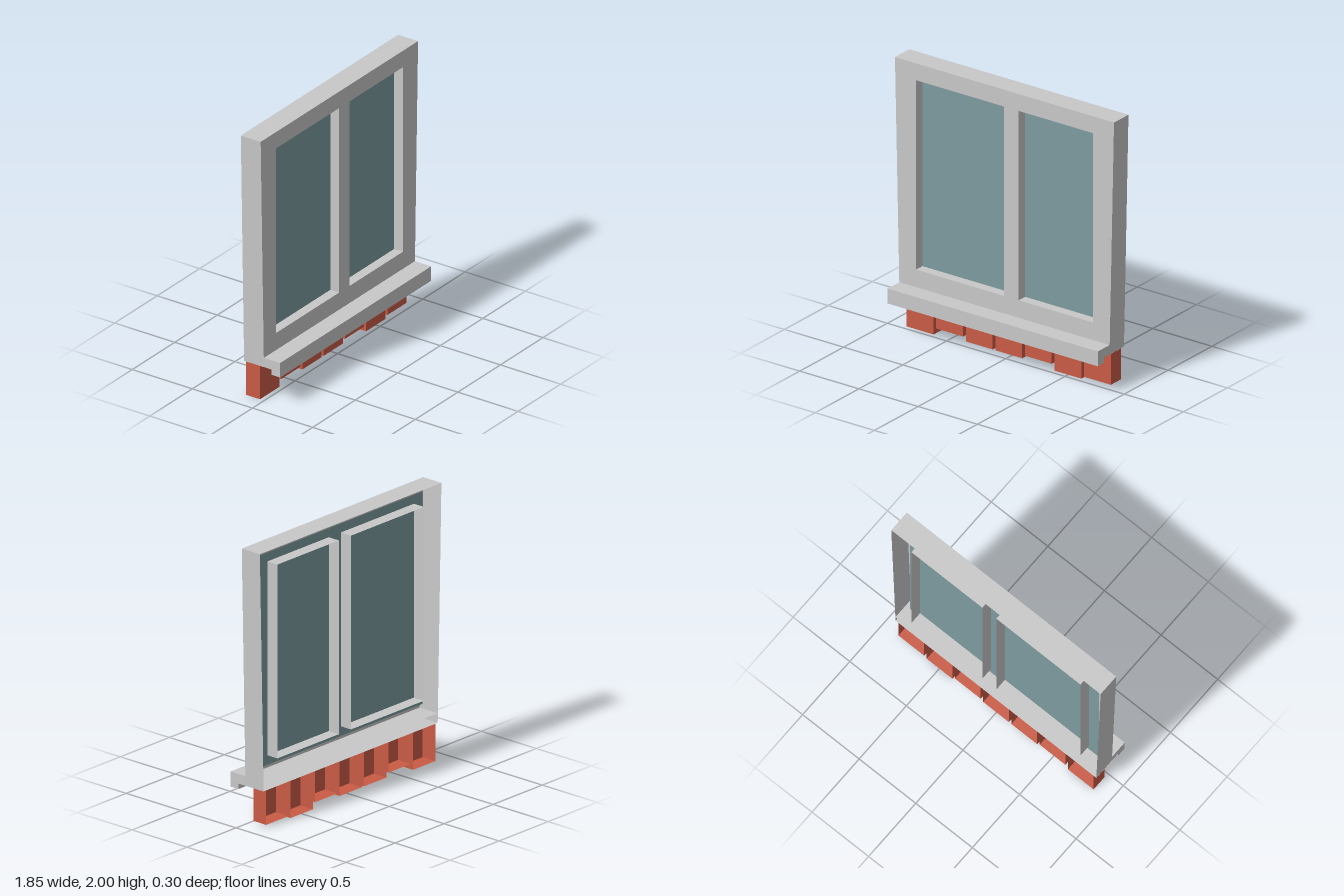
import * as THREE from 'three';

const material = (name, color) =>
  new THREE.MeshStandardMaterial({ name, color, side: THREE.DoubleSide });

// Ribbon of flat quads joining two polylines of [x, y, z] points
function ribbon(a, b) {
  const pos = [];
  for (let i = 0; i < a.length - 1; i++) {
    pos.push(...a[i], ...b[i], ...b[i + 1], ...a[i], ...b[i + 1], ...a[i + 1]);
  }
  const geo = new THREE.BufferGeometry();
  geo.setAttribute('position', new THREE.Float32BufferAttribute(pos, 3));
  geo.computeVertexNormals();
  return geo;
}

// Ribbon swept along z from an outline of [x, y] points
const sweepZ = (pts, z0, z1) =>
  ribbon(pts.map(([x, y]) => [x, y, z0]), pts.map(([x, y]) => [x, y, z1]));

const rect = (x0, x1, y0, y1) => [[x0, y0], [x0, y1], [x1, y1], [x1, y0]];
const vectors = (pts) => pts.map(([x, y]) => new THREE.Vector2(x, y));

export function createModel() {
  const group = new THREE.Group();
  const stone = material('pale grey stone', 0xc8c8c8);
  const glass = material('blue grey glass', 0x7d9b9f);
  const brick = material('red brick', 0xc95b45);

  const add = (name, geo, mat, parent = group) => {
    const mesh = new THREE.Mesh(geo, mat);
    mesh.name = name;
    parent.add(mesh);
    return mesh;
  };

  const front = 0.015, back = -0.15, glassZ = -0.058;
  const outline = [[-0.887, 0.27], [-0.925, 2], [0.925, 2], [0.887, 0.27]];
  const openings = [rect(-0.747, -0.003, 0.47, 1.875), rect(0.12, 0.747, 0.47, 1.875)];

  // Tapered front plate with two openings
  const face = new THREE.Shape(vectors(outline));
  openings.forEach((o) => face.holes.push(new THREE.Path(vectors(o))));
  add('frontPlate', new THREE.ShapeGeometry(face), stone).position.z = front;

  // Outer side and top walls, open at the back
  add('outerWalls', sweepZ(outline, front, back), stone);

  // Thin walls lining each opening
  openings.forEach((o) => add('windowReveal', sweepZ([...o, o[0]], front, back), stone));

  // One pane spanning both openings
  add('windowPane', new THREE.PlaneGeometry(1.67, 1.54), glass).position.set(0, 1.17, glassZ);

  // Hollow sill with a drip lip, profile in [z, y]
  const w = 0.888;
  const profile = [[back, 0.34], [0.15, 0.34], [0.15, 0.23], [0.08, 0.23], [0.08, 0.27], [back, 0.27]];
  const along = (x) => profile.map(([z, y]) => [x, y, z]);
  add('sill', ribbon(along(-w), along(w)), stone);
  const endShape = new THREE.Shape(vectors(
    [[front, 0.34], [0.15, 0.34], [0.15, 0.23], [0.08, 0.23], [0.08, 0.27], [front, 0.27]]));
  for (const side of [-1, 1]) {
    const cap = add('sillEnd', new THREE.ShapeGeometry(endShape), stone);
    cap.rotation.y = -Math.PI / 2;
    cap.position.x = side * w;
  }

  // Row of bricks below the sill, hollow and open at the back
  const brickBottoms = [0, 0.05, 0.02, 0.02, 0.045, 0, 0.02];
  const brickFront = -0.035, top = 0.27, width = 0.227;
  brickBottoms.forEach((y, i) => {
    const x = -0.863 + i * 0.2495;
    const b = new THREE.Group();
    b.name = 'brick';
    group.add(b);
    add('brickSides', sweepZ([[x, top], [x, y], [x + width, y], [x + width, top]], brickFront, back), brick, b);
    add('brickFace', new THREE.PlaneGeometry(width, top - y), brick, b)
      .position.set(x + width / 2, (top + y) / 2, brickFront);
  });

  return group;
}
